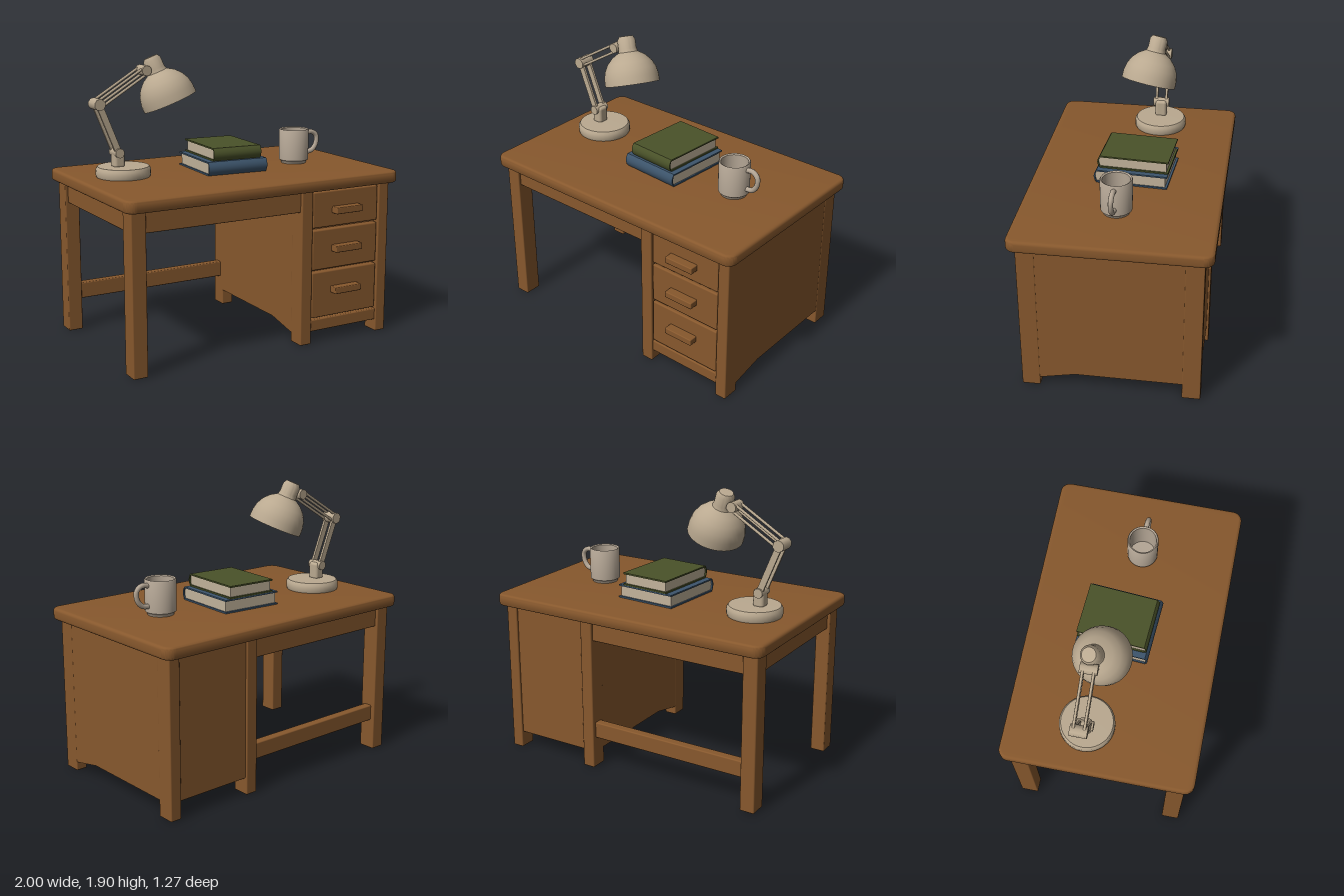
import * as THREE from 'three';
import { RoundedBoxGeometry } from 'three/addons/geometries/RoundedBoxGeometry.js';
import { toCreasedNormals } from 'three/addons/utils/BufferGeometryUtils.js';

const V2 = (x, y) => new THREE.Vector2(x, y);
const V3 = (x, y, z) => new THREE.Vector3(x, y, z);

function material(name, color) {
  const m = new THREE.MeshStandardMaterial({ color });
  m.name = name;
  return m;
}

export function createModel() {
  const wood = material('wood', 0x87582d);
  const cream = material('cream enamel', 0xbaa990);
  const white = material('white reflector', 0xdcdedb);
  const ceramic = material('mug ceramic', 0xb3a594);
  const paper = material('paper', 0xc2b39b);
  const green = material('green cover', 0x4a5229);
  const blue = material('blue cover', 0x3d556c);

  const model = new THREE.Group();
  const group = (name, parent = model) => {
    const g = new THREE.Group();
    g.name = name;
    parent.add(g);
    return g;
  };
  const add = (parent, name, geometry, mat) => {
    const mesh = new THREE.Mesh(geometry, mat);
    mesh.name = name;
    parent.add(mesh);
    return mesh;
  };
  // Box given by its limits, with softened edges
  const box = (parent, name, mat, [x0, x1], [y0, y1], [z0, z1], r = 0.008) => {
    const mesh = add(parent, name, new RoundedBoxGeometry(x1 - x0, y1 - y0, z1 - z0, 2, r), mat);
    mesh.position.set((x0 + x1) / 2, (y0 + y1) / 2, (z0 + z1) / 2);
    return mesh;
  };
  // Round or flat bar between two points
  const bar = (parent, name, a, b, w, mat, depth) => {
    const len = a.distanceTo(b);
    const geo = depth ? new THREE.BoxGeometry(w, len, depth) : new THREE.CylinderGeometry(w, w, len, 10);
    const mesh = add(parent, name, geo, mat);
    mesh.position.copy(a).add(b).multiplyScalar(0.5);
    mesh.quaternion.setFromUnitVectors(V3(0, 1, 0), b.clone().sub(a).normalize());
  };
  const lathe = (pts, n = 36) => toCreasedNormals(new THREE.LatheGeometry(pts.map(p => V2(...p)), n), 0.7);

  // ---- Desk ----
  const desk = group('desk');
  const w = 1, d = 0.635, r = 0.065;
  const plan = new THREE.Shape();
  plan.absarc(w - r, d - r, r, 0, Math.PI / 2);
  plan.absarc(-w + r, d - r, r, Math.PI / 2, Math.PI);
  plan.absarc(-w + r, -d + r, r, Math.PI, Math.PI * 1.5);
  plan.absarc(w - r, -d + r, r, Math.PI * 1.5, Math.PI * 2);
  const top = new THREE.ExtrudeGeometry(plan, {
    depth: 0.04, bevelThickness: 0.02, bevelSize: 0.02, bevelOffset: -0.02, bevelSegments: 4, curveSegments: 8,
  });
  top.rotateX(-Math.PI / 2).translate(0, 1.06, 0);
  add(desk, 'tabletop', toCreasedNormals(top, 0.6), wood);

  // Legs, aprons and the rear stretcher
  for (const s of [1, -1]) {
    const z = s > 0 ? [0.46, 0.58] : [-0.58, -0.46];
    box(desk, 'leftLeg', wood, [-0.955, -0.855], [0, 1.05], z);
    box(desk, 'pedestalInnerPost', wood, [0.255, 0.34], [0, 1.05], z);
    box(desk, 'pedestalOuterPost', wood, [0.87, 0.95], [0, 1.05], z);
    box(desk, 'longApron', wood, [-0.87, 0.27], [0.9, 1.05], s > 0 ? [0.51, 0.56] : [-0.56, -0.51]);
  }
  box(desk, 'sideApron', wood, [-0.935, -0.885], [0.9, 1.05], [-0.47, 0.47]);
  box(desk, 'rearStretcher', wood, [-0.87, 0.27], [0.21, 0.32], [-0.55, -0.49]);

  // Pedestal sides, with a sloping lower edge towards the front
  const side = new THREE.Shape([[-0.57, 0.11], [0.23, 0.11], [0.45, 0.065], [0.57, 0.065], [0.57, 1.045], [-0.57, 1.045]]
    .map(p => V2(...p)));
  for (const x of [0.257, 0.908]) {
    const geo = new THREE.ExtrudeGeometry(side, { depth: 0.04, bevelEnabled: false });
    geo.rotateY(-Math.PI / 2).translate(x + 0.04, 0, 0);
    add(desk, 'pedestalSide', geo, wood);
  }
  box(desk, 'pedestalCarcass', wood, [0.28, 0.92], [0.11, 1.045], [-0.565, 0.53]);
  box(desk, 'bottomRail', wood, [0.33, 0.88], [0.08, 0.16], [0.5, 0.568]);

  // Drawers
  for (const [y0, y1, handleY] of [[0.785, 1.025, 0.897], [0.5, 0.77, 0.638], [0.172, 0.485, 0.355]]) {
    const drawer = group('drawer', desk);
    box(drawer, 'drawerFront', wood, [0.345, 0.865], [y0, y1], [0.5, 0.572], 0.01);
    box(drawer, 'drawerHandle', wood, [0.495, 0.705], [handleY - 0.022, handleY + 0.022], [0.565, 0.63], 0.006);
  }

  // ---- Lamp ----
  const lamp = group('lamp');
  const lz = -0.11;
  const base = add(lamp, 'lampBase', lathe([[0, 0], [0.175, 0], [0.18, 0.012], [0.18, 0.05], [0.168, 0.068], [0, 0.072]]), cream);
  base.position.set(-0.685, 1.12, lz);
  box(lamp, 'lampPost', cream, [-0.76, -0.685], [1.18, 1.3], [lz - 0.04, lz + 0.04], 0.02);
  const foot = V3(-0.73, 1.28, lz), elbow = V3(-0.86, 1.6, lz), wrist = V3(-0.53, 1.8, lz);
  for (const dz of [-0.034, 0.034]) {
    const o = V3(0, 0, dz);
    bar(lamp, 'lowerArm', foot.clone().add(o), elbow.clone().add(o), 0.042, cream, 0.016);
    for (const k of [-1, 1]) {
      const p = V3(-0.012 * k, 0.02 * k, dz);
      bar(lamp, 'upperArm', elbow.clone().add(p), wrist.clone().add(p), 0.009, cream);
    }
  }
  for (const [p, rad] of [[foot, 0.032], [elbow, 0.038], [wrist, 0.034]])
    bar(lamp, 'lampJoint', p.clone().add(V3(0, 0, -0.055)), p.clone().add(V3(0, 0, 0.055)), rad, cream);

  // Lamp head, built upright and then tilted
  const head = group('lampHead', lamp);
  head.position.set(-0.365, 1.59, -0.06);
  head.quaternion.setFromUnitVectors(V3(0, 1, 0), V3(-0.34, 0.92, -0.19).normalize());
  const dome = [[0.184, 0], [0.183, 0.05], [0.172, 0.1], [0.148, 0.145], [0.11, 0.185], [0.066, 0.212]];
  add(head, 'shade', lathe([...dome, [0.06, 0.235], [0.06, 0.295], [0.045, 0.318], [0, 0.32]]), cream);
  const lining = dome.map(([a, b]) => [a - 0.007, b - (b > 0.1 ? 0.006 : 0)]).reverse();
  add(head, 'shadeLining', lathe([[0, 0.208], ...lining]), white);
  add(head, 'shadeRim', new THREE.RingGeometry(0.177, 0.184, 36).rotateX(Math.PI / 2), cream);
  const bulb = add(head, 'bulb', new THREE.SphereGeometry(0.052, 20, 14), cream);
  bulb.position.y = 0.1;
  add(head, 'bulbSocket', new THREE.CylinderGeometry(0.032, 0.032, 0.08, 16), cream).position.y = 0.17;

  // ---- Books, spine towards the front ----
  function book(name, cover, width, depth, height, x, y, z) {
    const g = group(name);
    g.position.set(x, y, z);
    g.rotation.y = -0.07;
    const h = depth / 2, bulge = 0.018, t = 0.01;
    // Side section: flat at the back, bulging at the spine
    const section = (inset, back) => {
      const s = new THREE.Shape();
      s.moveTo(-h + back, inset);
      s.lineTo(h - bulge, inset);
      s.quadraticCurveTo(h + bulge - inset * 2, height / 2, h - bulge, height - inset);
      s.lineTo(-h + back, height - inset);
      return s;
    };
    const extrude = (s, len) => new THREE.ExtrudeGeometry(s, { depth: len, bevelEnabled: false, curveSegments: 8 })
      .rotateY(-Math.PI / 2).translate(len / 2, 0, 0);
    add(g, 'pages', extrude(section(t, 0.014), width - 0.02), paper);
    // Cover: the outline with the page space cut out, open at the back
    const c = section(0, 0);
    c.lineTo(-h, height - t);
    c.lineTo(h - bulge, height - t);
    c.quadraticCurveTo(h + bulge - t * 2, height / 2, h - bulge, t);
    c.lineTo(-h, t);
    add(g, 'cover', toCreasedNormals(extrude(c, width), 0.6), cover);
  }
  book('lowerBook', blue, 0.425, 0.485, 0.09, 0.017, 1.121, -0.037);
  book('upperBook', green, 0.345, 0.47, 0.085, 0.02, 1.212, -0.045);

  // ---- Mug ----
  const mug = group('mug');
  mug.position.set(0.555, 1.12, 0.015);
  add(mug, 'mugBody', lathe([[0, 0], [0.085, 0], [0.09, 0.016], [0.101, 0.024], [0.103, 0.228], [0.098, 0.236],
    [0.088, 0.23], [0.086, 0.03], [0, 0.026]]), ceramic);
  const loop = new THREE.CatmullRomCurve3([V3(0.09, 0.2, 0), V3(0.145, 0.205, 0.003), V3(0.182, 0.175, 0.006),
    V3(0.178, 0.115, 0.006), V3(0.145, 0.075, 0.003), V3(0.09, 0.065, 0)]);
  add(mug, 'mugHandle', new THREE.TubeGeometry(loop, 28, 0.017, 10), ceramic);

  return model;
}
